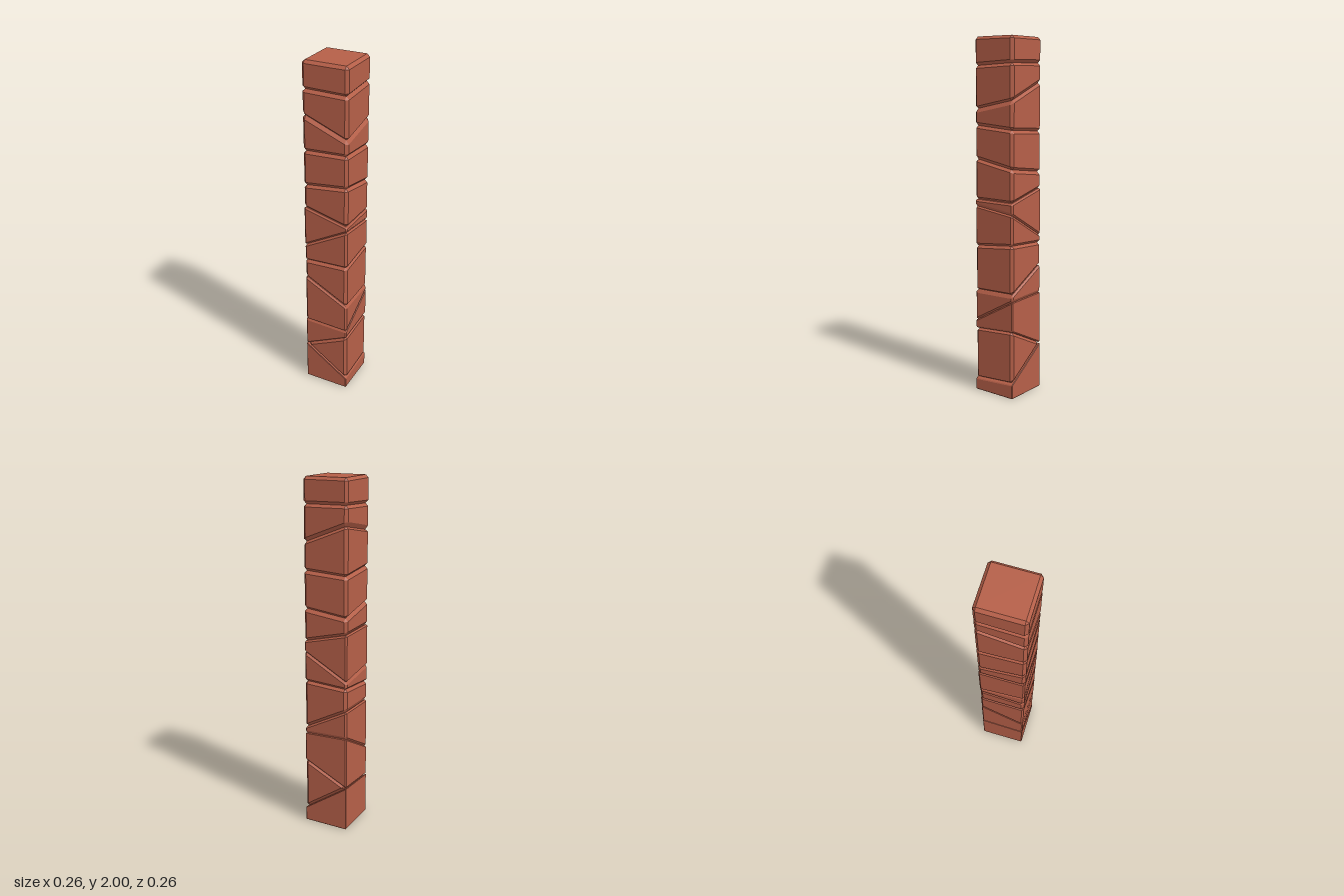
import * as THREE from 'three';
import { ConvexGeometry } from 'three/addons/geometries/ConvexGeometry.js';

const HALF = 0.132;

// Sloped cuts through the column: height at front -x, front +x and back +x corners
const CUTS = [
  [0, 0, 0],
  [0.245, 0.063, 0.081],
  [0.246, 0.374, 0.393],
  [0.424, 0.415, 0.563],
  [0.727, 0.588, 0.594],
  [0.838, 0.852, 0.877],
  [0.938, 1.084, 1.048],
  [1.178, 1.112, 1.108],
  [1.312, 1.343, 1.292],
  [1.512, 1.526, 1.503],
  [1.712, 1.607, 1.658],
  [1.850, 1.846, 1.858],
  [2, 2, 2],
];

// Chamfer width of each block, smaller where a block tapers to a thin edge
const CHAMFERS = [0.003, 0.016, 0.006, 0.01, 0.016, 0.012, 0.009, 0.016, 0.016, 0.016, 0.016, 0.016];

// Outward plane n.p = d through a cut; sign +1 bounds from above, -1 from below
function cutPlane([fl, fr, br], sign) {
  const sx = (fr - fl) / (2 * HALF);
  const sz = (fr - br) / (2 * HALF);
  const n = new THREE.Vector3(-sx, 1, -sz);
  const len = n.length();
  return { n: n.multiplyScalar(sign / len), d: sign * ((fl + br) / 2) / len };
}

// Common point of three planes, or null when they are parallel
function meet(a, b, c) {
  const bc = b.n.clone().cross(c.n);
  const det = a.n.dot(bc);
  if (Math.abs(det) < 1e-5) return null;
  return bc.multiplyScalar(a.d)
    .addScaledVector(c.n.clone().cross(a.n), b.d)
    .addScaledVector(a.n.clone().cross(b.n), c.d)
    .divideScalar(det);
}

// Chamfered convex block: every face is inset from its neighbours, then hulled
function chamferedBlock(planes, chamfer) {
  const points = [];
  for (const face of planes) {
    const rest = planes.filter((p) => p !== face).map((p) => ({ n: p.n, d: p.d - chamfer }));
    for (let i = 0; i < rest.length; i++) {
      for (let j = i + 1; j < rest.length; j++) {
        const p = meet(face, rest[i], rest[j]);
        if (!p || rest.some((r) => r.n.dot(p) > r.d + 1e-6)) continue;
        if (!points.some((q) => q.distanceTo(p) < 1e-4)) points.push(p);
      }
    }
  }
  return new ConvexGeometry(points);
}

export function createModel() {
  const group = new THREE.Group();
  group.name = 'stonePillar';
  const brick = new THREE.MeshStandardMaterial({ color: 0xb55f48 });
  brick.name = 'brick red';

  const sides = [[1, 0], [-1, 0], [0, 1], [0, -1]].map(([x, z]) => ({
    n: new THREE.Vector3(x, 0, z),
    d: HALF,
  }));

  // Blocks stacked from the ground up
  CHAMFERS.forEach((chamfer, i) => {
    const planes = [...sides, cutPlane(CUTS[i], -1), cutPlane(CUTS[i + 1], 1)];
    const block = new THREE.Mesh(chamferedBlock(planes, chamfer), brick);
    block.name = `block${i + 1}`;
    group.add(block);
  });
  return group;
}
